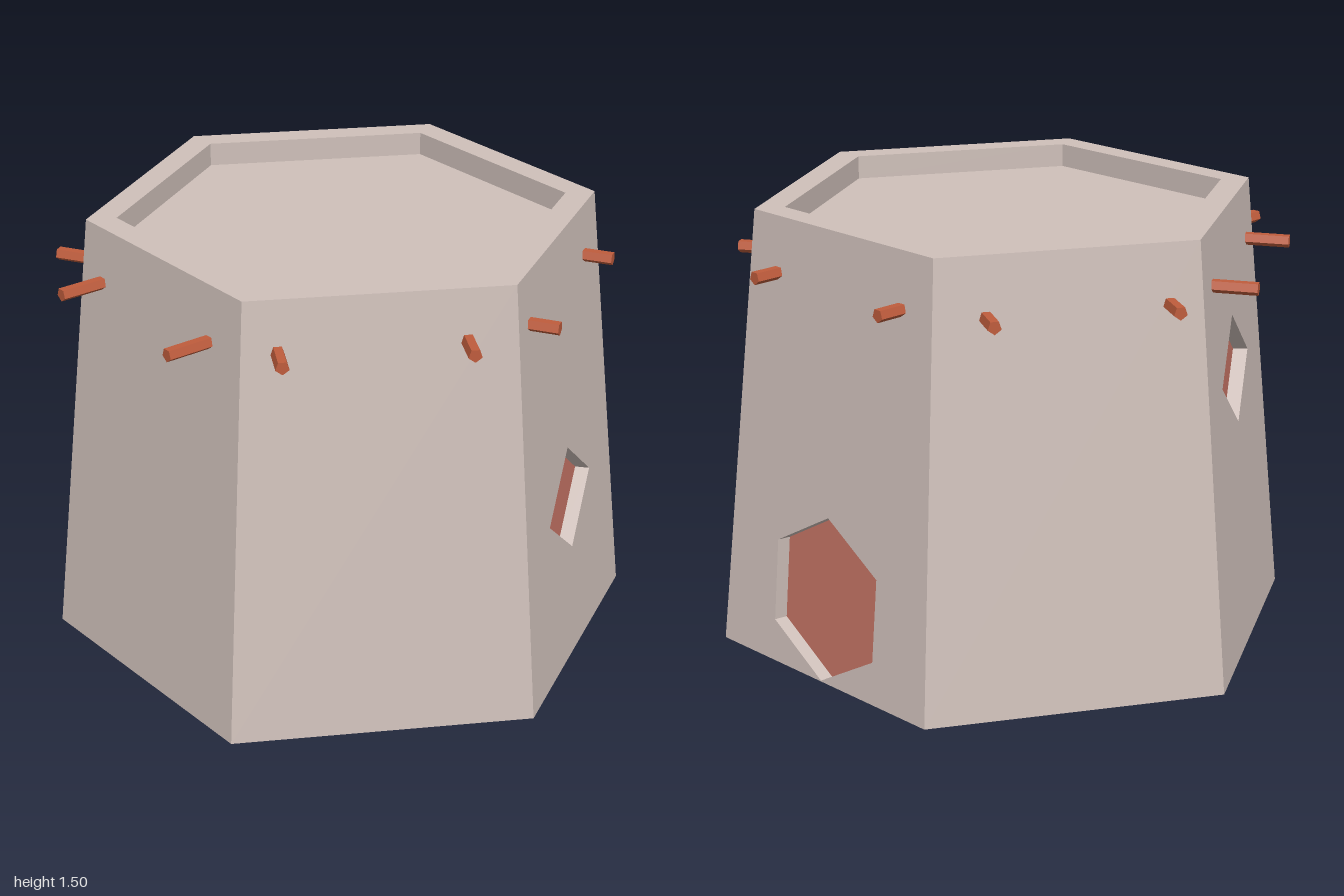
import * as THREE from 'three';

const H = 1.5, R0 = 1, R1 = 0.85, C = Math.sqrt(3) / 2;
const TILT = Math.atan2((R0 - R1) * C, H);
const SLOPE = Math.hypot((R0 - R1) * C, H);
const DEPTH = 0.05;

const clay = new THREE.MeshStandardMaterial({ color: 0xcfc0ba, flatShading: true, side: THREE.DoubleSide });
clay.name = 'pale clay';
const panelRed = new THREE.MeshStandardMaterial({ color: 0xc27263, flatShading: true, side: THREE.DoubleSide });
panelRed.name = 'terracotta panel';
const pegRed = new THREE.MeshStandardMaterial({ color: 0xbf5c3c, flatShading: true });
pegRed.name = 'timber orange';

function add(parent, name, geometry, material) {
  const mesh = new THREE.Mesh(geometry, material);
  mesh.name = name;
  parent.add(mesh);
  return mesh;
}

// Six sides, counted round from +x towards +z; pegs: offsets along the side, outer end, height
const door = { name: 'door', sides: 6, rx: 0.281, ry: 0.281, y: 0.284 };
const windowAt = y => ({ name: 'window', sides: 4, rx: 0.23, ry: 0.186, y });
const SIDES = [
  { pegs: [-0.295, 0.295], end: 0.85, y: 1.315, opening: door },
  { pegs: [-0.327, 0.276], end: 0.85, y: 1.33, opening: windowAt(0.567) },
  { pegs: [-0.319, 0.273], end: 0.865, y: 1.33 },
  { pegs: [-0.32, 0.27], end: 0.91, y: 1.315 },
  { pegs: [-0.286, 0.317], end: 0.9, y: 1.315, opening: windowAt(0.955) },
  { pegs: [-0.266, 0.324], end: 0.86, y: 1.305 },
];

// Sloping wall, with an optional shallow recess backed by a coloured panel
function makeWall(opening) {
  const wall = new THREE.Group();
  wall.name = 'wall';
  const shape = new THREE.Shape([
    new THREE.Vector2(-R0 / 2, 0), new THREE.Vector2(R0 / 2, 0),
    new THREE.Vector2(R1 / 2, SLOPE), new THREE.Vector2(-R1 / 2, SLOPE),
  ]);
  if (opening) {
    const { name, sides, rx, ry, y } = opening;
    const corners = [];
    for (let i = 0; i < sides; i++) {
      const a = Math.PI / 2 - (i / sides) * Math.PI * 2;
      corners.push(new THREE.Vector2(rx * Math.cos(a), y + ry * Math.sin(a)));
    }
    shape.holes.push(new THREE.Path(corners));
    const reveal = new THREE.CylinderGeometry(1, 1, DEPTH, sides, 1, true);
    reveal.rotateX(Math.PI / 2).scale(rx, ry, 1).translate(0, y, -DEPTH / 2);
    add(wall, name + 'Reveal', reveal, clay);
    const back = new THREE.CircleGeometry(1, sides, Math.PI / 2);
    back.scale(rx, ry, 1).translate(0, y, -DEPTH);
    add(wall, name + 'Panel', back, panelRed);
  }
  add(wall, 'wallFace', new THREE.ShapeGeometry(shape), clay);
  wall.position.z = R0 * C;
  wall.rotation.x = -TILT;
  return wall;
}

export function createModel() {
  const model = new THREE.Group();
  model.name = 'hexagonalHouse';
  const house = new THREE.Group();
  house.name = 'house';
  house.position.x = 0.02;
  model.add(house);

  // Parapet rim and sunken roof
  const roof = [[0, 1.42], [0.75, 1.42], [0.75, H], [R1, H]].map(p => new THREE.Vector2(...p));
  add(house, 'sunkenRoof', new THREE.LatheGeometry(roof, 6), clay);

  // Underside
  const base = new THREE.CircleGeometry(R0, 6, Math.PI / 2);
  base.rotateX(Math.PI / 2);
  add(house, 'base', base, clay);

  SIDES.forEach(({ pegs, end, y, opening }, i) => {
    const side = new THREE.Group();
    side.name = 'side' + (i + 1);
    side.rotation.y = Math.PI / 2 - (i * Math.PI) / 3;
    side.add(makeWall(opening));
    // Roof beam ends sticking out of the wall
    const start = 0.735;
    for (const x of pegs) {
      const beam = new THREE.CylinderGeometry(0.023, 0.023, end - start, 5);
      beam.rotateX(Math.PI / 2);
      add(side, 'beamEnd', beam, pegRed).position.set(x, y, (start + end) / 2);
    }
    house.add(side);
  });
  return model;
}
